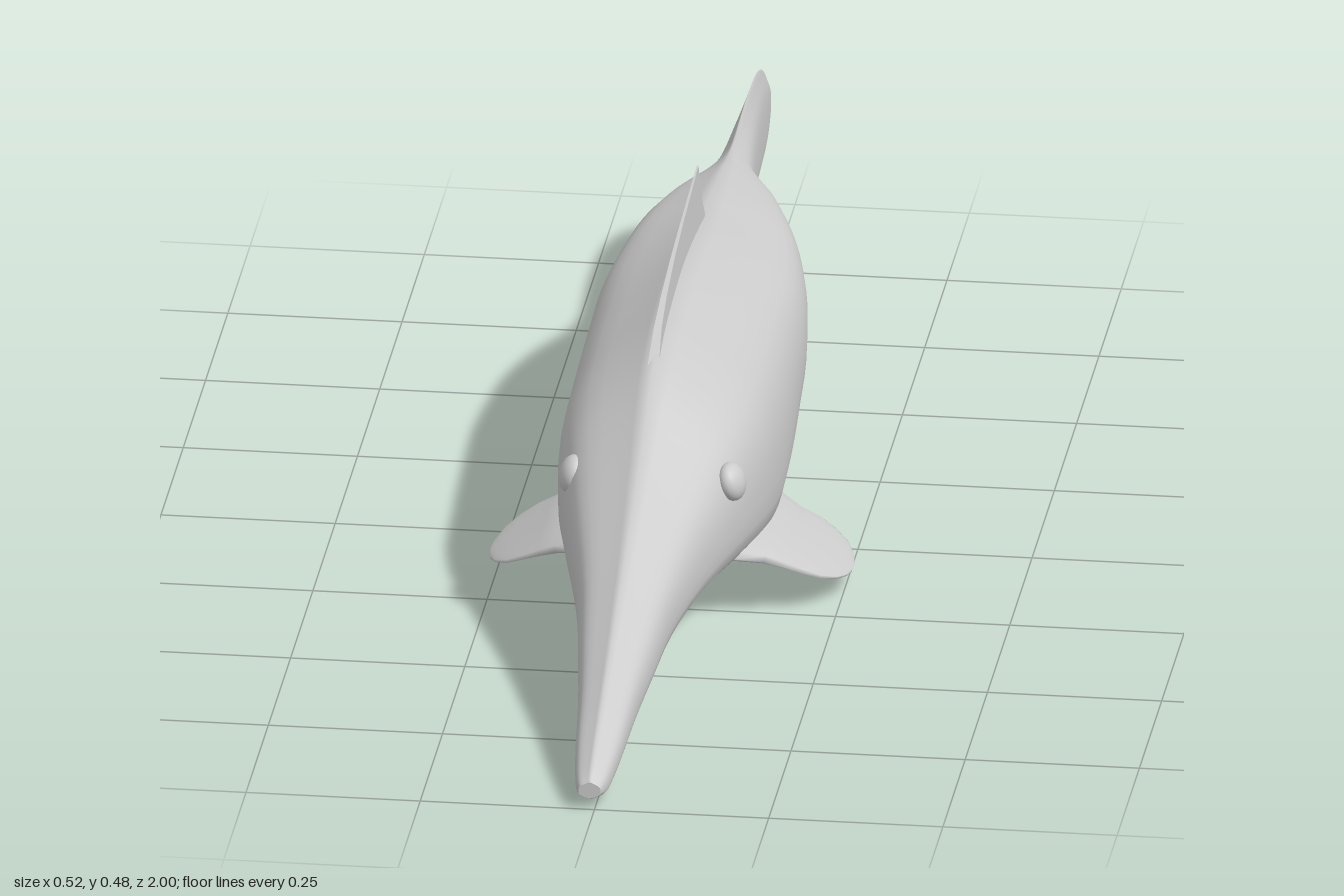
import * as THREE from 'three';

const grey = new THREE.MeshStandardMaterial({ color: 0xcccccc, side: THREE.DoubleSide });

// Skin a row of closed rings and cap both ends
function loft(rings) {
  const n = rings[0].length, pos = rings.flat(2), idx = [];
  for (let i = 0; i < rings.length - 1; i++) {
    for (let j = 0; j < n; j++) {
      const a = i * n + j, b = i * n + (j + 1) % n;
      idx.push(a, b, a + n, b, b + n, a + n);
    }
  }
  [rings[0], rings[rings.length - 1]].forEach((ring, end) => {
    const base = pos.length / 3;
    pos.push(...ring.flat());
    for (let j = 1; j < n - 1; j++) {
      idx.push(base, base + (end ? j : j + 1), base + (end ? j + 1 : j));
    }
  });
  const g = new THREE.BufferGeometry();
  g.setAttribute('position', new THREE.Float32BufferAttribute(pos, 3));
  g.setIndex(idx);
  g.computeVertexNormals();
  return g;
}

// Body stations: z, top, bottom, half width
const stations = [
  [1, 0.045, 0.02, 0.016], [0.97, 0.062, 0.011, 0.024], [0.9, 0.092, 0.02, 0.033],
  [0.8, 0.135, 0.036, 0.042], [0.7, 0.18, 0.053, 0.055], [0.6, 0.225, 0.068, 0.069],
  [0.5, 0.273, 0.07, 0.09], [0.4, 0.325, 0.062, 0.115], [0.3, 0.382, 0.042, 0.139],
  [0.2, 0.408, 0.02, 0.153], [0.1, 0.418, 0.003, 0.157], [0, 0.422, 0.022, 0.157],
  [-0.1, 0.418, 0.062, 0.155], [-0.2, 0.408, 0.11, 0.152], [-0.3, 0.395, 0.155, 0.14],
  [-0.4, 0.385, 0.203, 0.117], [-0.5, 0.372, 0.23, 0.083], [-0.55, 0.365, 0.233, 0.06],
  [-0.6, 0.362, 0.231, 0.035], [-0.65, 0.363, 0.225, 0.026], [-0.75, 0.369, 0.212, 0.019],
  [-0.85, 0.366, 0.206, 0.014], [-0.92, 0.348, 0.212, 0.011], [-0.97, 0.32, 0.235, 0.008],
  [-0.99, 0.3, 0.255, 0.006], [-1, 0.284, 0.272, 0.003],
];

// Right half of the section: ridged back, full flanks, V-shaped belly
const half = new THREE.SplineCurve([
  [0, 1], [0.35, 0.79], [0.68, 0.6], [0.88, 0.4], [0.98, 0.12], [1, -0.2],
  [0.95, -0.5], [0.66, -0.74], [0.3, -0.9], [0, -1],
].map(([u, v]) => new THREE.Vector2(u, v))).getPoints(18);
const section = [...half, ...half.slice(1, -1).reverse().map(p => new THREE.Vector2(-p.x, p.y))];

function bodyGeometry() {
  const spine = new THREE.CatmullRomCurve3(
    stations.map(([z, t, b]) => new THREE.Vector3(z, t, b)), false, 'catmullrom');
  const girth = new THREE.CatmullRomCurve3(
    stations.map(s => new THREE.Vector3(s[3], 0, 0)), false, 'catmullrom');
  const rings = [], steps = 75;
  for (let i = 0; i <= steps; i++) {
    const { x: z, y: top, z: bottom } = spine.getPoint(i / steps);
    const w = girth.getPoint(i / steps).x;
    // the ridge sits slightly off centre
    const shift = w < 0.1 ? -0.007 : -0.007 * Math.max(0, (0.157 - w) / 0.057);
    rings.push(section.map(p => [
      shift + p.x * w - (1 - Math.abs(p.x)) * (0.007 + shift),
      (top + bottom) / 2 + p.y * (top - bottom) / 2, z]));
  }
  return loft(rings);
}

// Side fin sections: x, y, front z, back z, half thickness
const finGeometry = () => loft([
  [0.11, 0.105, 0.3, -0.01, 0.02], [0.15, 0.092, 0.275, 0.03, 0.015],
  [0.175, 0.08, 0.262, 0.04, 0.011], [0.2, 0.066, 0.247, 0.034, 0.008],
  [0.225, 0.052, 0.23, 0.044, 0.006], [0.245, 0.04, 0.2, 0.062, 0.004],
  [0.256, 0.033, 0.17, 0.09, 0.003], [0.26, 0.03, 0.145, 0.115, 0.002],
].map(([x, y, front, back, t]) => Array.from({ length: 16 }, (_, k) => {
  const a = k / 16 * Math.PI * 2;
  return [x + t * 0.4 * Math.cos(a), y + t * Math.cos(a),
    (front + back) / 2 + (front - back) / 2 * Math.sin(a)];
})));

// Thin upright back fin, outlined in z and y
function dorsalGeometry() {
  const shape = new THREE.Shape([
    [0.27, 0.385], [0.22, 0.422], [0.15, 0.443], [0.05, 0.461], [-0.05, 0.472],
    [-0.15, 0.48], [-0.228, 0.487], [-0.234, 0.455], [-0.242, 0.425], [-0.258, 0.4], [-0.25, 0.37],
  ].map(([z, y]) => new THREE.Vector2(z, y)));
  const g = new THREE.ExtrudeGeometry(shape, { depth: 1, bevelEnabled: false }).rotateY(-Math.PI / 2);
  const p = g.attributes.position;
  // taper the thickness towards the top edge
  for (let i = 0; i < p.count; i++) {
    const t = THREE.MathUtils.mapLinear(p.getY(i), 0.37, 0.49, 0.018, 0.002);
    p.setX(i, -0.009 + (p.getX(i) + 0.5) * t);
  }
  g.computeVertexNormals();
  return g;
}

export function createModel() {
  const model = new THREE.Group();
  const add = (name, geometry) => {
    const mesh = new THREE.Mesh(geometry, grey);
    mesh.name = name;
    model.add(mesh);
    return mesh;
  };
  add('bodyAndTail', bodyGeometry());
  add('dorsalFin', dorsalGeometry());
  const fin = finGeometry();
  const eye = new THREE.SphereGeometry(1, 20, 14).scale(0.018, 0.028, 0.028);
  for (const [side, label] of [[1, 'left'], [-1, 'right']]) {
    add(label + 'Fin', fin).scale.x = side;
    const e = add(label + 'Eye', eye);
    e.position.set(side * 0.115, 0.248, 0.355);
    e.rotation.set(0, -side * 0.25, side * 0.3);
  }
  return model;
}
